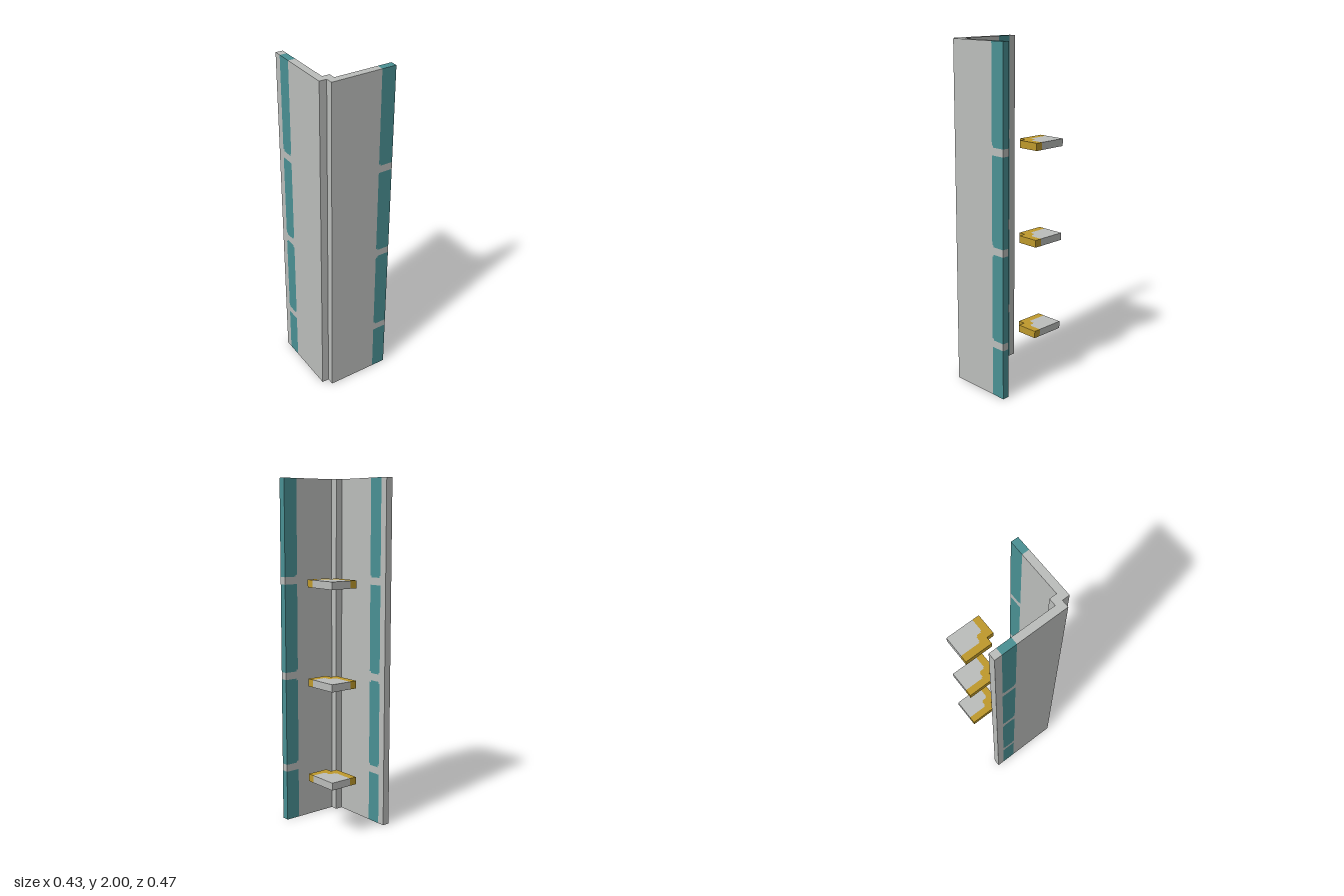
import * as THREE from 'three';

const U = 2 / 47;   // one block
const Q = 0.25;     // corner nick of a painted band, in blocks
const H = 47;

export function createModel() {
  const mat = (name, color) => {
    const m = new THREE.MeshStandardMaterial({ color });
    m.name = name;
    return m;
  };
  const grey = mat('light grey', 0xbcbebc);
  const teal = mat('teal', 0x4a9194);
  const gold = mat('gold', 0xbf9a2c);

  const model = new THREE.Group();
  model.name = 'cornerPanel';

  // Box given by its limits in blocks
  const box = (parent, name, m, [x0, x1], [y0, y1], [z0, z1]) => {
    const g = new THREE.BoxGeometry((x1 - x0) * U, (y1 - y0) * U, (z1 - z0) * U);
    g.translate((x0 + x1) / 2 * U, (y0 + y1) / 2 * U, (z0 + z1) / 2 * U);
    const mesh = new THREE.Mesh(g, m);
    mesh.name = name;
    parent.add(mesh);
  };

  // Teal band broken by grey gaps; place() maps a span along the wall to a box
  const gaps = [[7, 8], [20, 21], [33, 34]];
  const band = (s0, s1, nickEnd, place) => {
    const e = nickEnd ? s1 - Q : s1;
    const nickRow = (y0, y1) => {
      place('band', teal, [s0 + Q, e], [y0, y1]);
      place('bandNick', grey, [s0, s0 + Q], [y0, y1]);
      if (nickEnd) place('bandNick', grey, [e, s1], [y0, y1]);
    };
    let y = 0;
    gaps.forEach(([g0, g1], i) => {
      const top = i === 1 ? g0 - Q : g0;
      place('band', teal, [s0, s1], [y, top]);
      if (top < g0) nickRow(top, g0);
      place('bandGap', grey, [s0, s1], [g0, g1]);
      nickRow(g1, g1 + Q);
      y = g1 + Q;
    });
    place('band', teal, [s0, s1], [y, H]);
  };

  // Front wall
  const frontWall = new THREE.Group();
  frontWall.name = 'frontWall';
  model.add(frontWall);
  const onFront = (n, m, s, y) => box(frontWall, n, m, s, y, [4.5, 5.5]);
  onFront('frontPanel', grey, [-4, 3], [0, H]);
  band(3, 5, false, onFront);

  // Side wall
  const sideWall = new THREE.Group();
  sideWall.name = 'sideWall';
  model.add(sideWall);
  const onSide = (n, m, s, y) => box(sideWall, n, m, [-5, -4], y, s);
  onSide('sidePanel', grey, [-2.5, 4.5], [0, H]);
  onSide('sideEdge', grey, [-5.5, -4.5], [0, H]);
  band(-4.5, -2.5, true, onSide);

  // Post inside the corner
  box(model, 'cornerPost', grey, [-4, -3], [0, H], [3.5, 4.5]);

  // Stepped border between the gold rim and the grey plate, as x, z
  const border = [[2, -5.5], [2, -2.67], [2.17, -2.67], [2.17, -2.5], [2.83, -2.5], [2.83, -2.33],
    [3, -2.33], [3, -1.67], [3.17, -1.67], [3.17, -1.5], [5, -1.5]];
  const slab = (pts) => {
    const shape = new THREE.Shape(pts.map(([x, z]) => new THREE.Vector2(x * U, z * U)));
    const g = new THREE.ExtrudeGeometry(shape, { depth: U, bevelEnabled: false });
    return g.rotateX(Math.PI / 2);
  };
  const plateGeo = slab([...border, [5, -5.5]]);
  const rimGeo = slab([...border, [5, -0.5], [2, -0.5], [2, -1.5], [1, -1.5], [1, -5.5]]);

  // Floating shelves
  for (const [, top] of gaps) {
    const shelf = new THREE.Group();
    shelf.name = 'shelf';
    const plate = new THREE.Mesh(plateGeo, grey);
    plate.name = 'shelfPlate';
    const rim = new THREE.Mesh(rimGeo, gold);
    rim.name = 'shelfRim';
    shelf.add(plate, rim);
    shelf.position.y = top * U;
    model.add(shelf);
  }

  return model;
}
